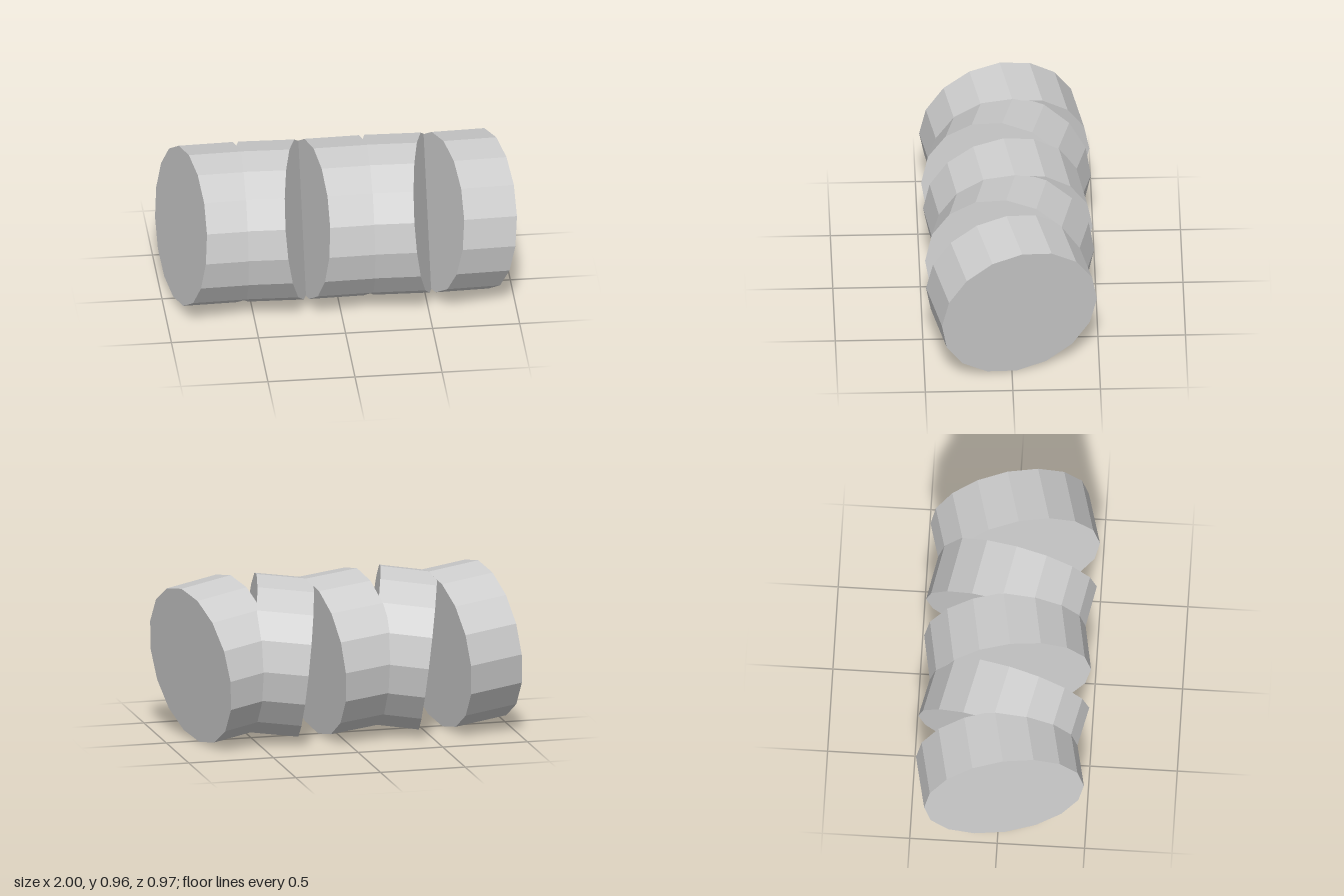
import * as THREE from 'three';

const RADIUS = 0.461;
const LENGTH = 0.325;
const CENTRE_Y = 0.478;
const SPACING = 0.362;

export function createModel() {
  const group = new THREE.Group();
  group.name = 'segmentedColumn';

  const grey = new THREE.MeshStandardMaterial({ color: 0xcccccc, flatShading: true });
  grey.name = 'light grey';

  // One 16-sided drum lying along x
  const drum = new THREE.CylinderGeometry(RADIUS, RADIUS, LENGTH, 16);
  drum.rotateZ(Math.PI / 2);

  // Overlapping drums in a row, wobbling alternately one way and the other
  const yaws = [0.205, -0.24, 0.175, -0.21, 0.259];
  yaws.forEach((yaw, i) => {
    const segment = new THREE.Mesh(drum, grey);
    segment.name = `segment${i + 1}`;
    segment.position.set(-0.012 + (i - 2) * SPACING, CENTRE_Y, 0);
    segment.rotation.set(0, yaw, -yaw / 2, 'YZX');
    group.add(segment);
  });

  return group;
}
